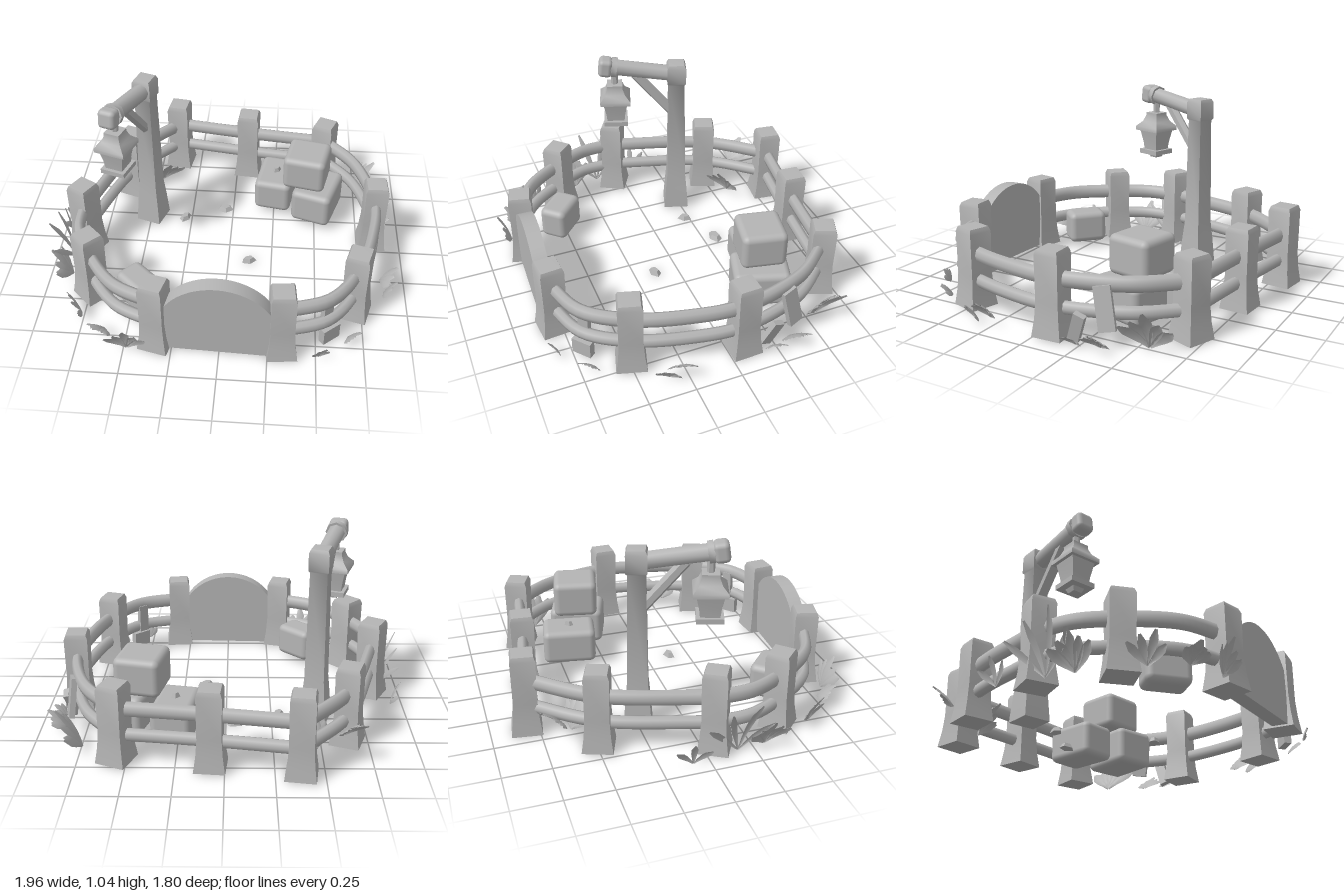
import * as THREE from 'three';
import { toCreasedNormals } from 'three/addons/utils/BufferGeometryUtils.js';
import { RoundedBoxGeometry } from 'three/addons/geometries/RoundedBoxGeometry.js';

const DEG = Math.PI / 180;
const stone = new THREE.MeshStandardMaterial({ color: 0xb4b4b4, side: THREE.DoubleSide });
stone.name = 'plain grey';

function add(parent, name, geometry, x = 0, y = 0, z = 0, ry = 0) {
  const mesh = new THREE.Mesh(geometry, stone);
  mesh.name = name;
  mesh.position.set(x, y, z);
  mesh.rotation.y = ry;
  parent.add(mesh);
  return mesh;
}

// Square-section turned shape from [half width, height] pairs
function squareLoft(profile) {
  const pts = profile.map(([r, y]) => new THREE.Vector2(r * Math.SQRT2, y));
  const g = new THREE.LatheGeometry(pts, 4);
  g.rotateY(Math.PI / 4);
  return toCreasedNormals(g, 50 * DEG);
}

// Round bar between two points
function bar(parent, name, a, b, r, sides = 8) {
  const from = new THREE.Vector3(...a), to = new THREE.Vector3(...b);
  const dir = to.clone().sub(from);
  const g = toCreasedNormals(new THREE.CylinderGeometry(r, r, dir.length(), sides), 50 * DEG);
  const mesh = add(parent, name, g);
  mesh.position.copy(from).add(to).multiplyScalar(0.5);
  mesh.quaternion.setFromUnitVectors(new THREE.Vector3(0, 1, 0), dir.normalize());
  return mesh;
}

// Leaf that swells, tapers and droops along its length
function leafGeometry(length, width, droop) {
  const g = new THREE.PlaneGeometry(1, 1, 2, 4);
  const p = g.attributes.position;
  const swell = [0.2, 0.55, 0.9, 1, 0.3];
  for (let i = 0; i < p.count; i++) {
    const t = p.getY(i) + 0.5;
    const u = p.getX(i);
    p.setXYZ(i, u * width * swell[Math.round(t * 4)], t * length,
      droop * t * t * length + Math.abs(u) * width * 0.25);
  }
  g.computeVertexNormals();
  return g;
}

// Fan of leaves leaning towards the direction "yaw"
function plant(parent, x, y, z, length, yaw, lean, count, width) {
  const group = new THREE.Group();
  group.name = 'plant';
  group.position.set(x, y, z);
  group.rotation.y = yaw;
  const fan = new THREE.Group();
  fan.rotation.x = lean;
  group.add(fan);
  for (let i = 0; i < count; i++) {
    const s = i / (count - 1) * 2 - 1;
    const size = length * (1 - 0.2 * Math.abs(s)) * (i % 2 ? 0.88 : 1);
    const leaf = add(fan, 'leaf', leafGeometry(size, width, 0.25));
    leaf.rotation.z = -s * 0.75;
  }
  parent.add(group);
}

export function createModel() {
  const model = new THREE.Group();
  model.name = 'fencedYard';

  // Fence posts: x, z, turn in degrees, height
  const posts = [
    [-0.38, -0.81, -8, 0.45], [0.07, -0.74, -5, 0.44], [0.55, -0.68, -22, 0.43],
    [0.83, -0.08, 2, 0.44], [0.71, 0.49, -16, 0.43], [0.32, 0.79, 5, 0.43],
    [-0.33, 0.78, -14, 0.43], [-0.73, 0.45, -45, 0.43], [-0.83, 0.06, -30, 0.45],
    [-0.64, -0.49, -20, 0.44],
  ];
  for (const [x, z, turn, h] of posts) {
    const g = squareLoft([[0, 0], [0.08, 0], [0.068, 0.09], [0.062, 0.18],
      [0.064, h - 0.025], [0.055, h], [0, h + 0.002]]);
    add(model, 'fencePost', g, x, 0, z, turn * DEG);
  }

  // Upper and lower rails, taller than they are thick
  const runs = [
    [[-0.38, -0.81], [0.07, -0.74], [0.55, -0.68]],
    [[0.55, -0.68], [0.73, -0.45], [0.83, -0.08], [0.8, 0.2], [0.71, 0.49], [0.56, 0.7], [0.32, 0.79]],
    [[-0.33, 0.78], [-0.56, 0.67], [-0.73, 0.45], [-0.82, 0.26], [-0.83, 0.06]],
    [[-0.83, 0.06], [-0.64, -0.49], [-0.38, -0.81]],
  ];
  for (const [y, halfHeight] of [[0.292, 0.043], [0.148, 0.036]]) {
    for (const run of runs) {
      const curve = new THREE.CatmullRomCurve3(run.map(([x, z]) => new THREE.Vector3(x, 0, z)));
      const g = new THREE.TubeGeometry(curve, run.length * 6, 0.031, 8);
      g.scale(1, halfHeight / 0.031, 1);
      add(model, 'rail', g, 0, y, 0);
    }
  }

  // Arched gate
  const arch = new THREE.Shape();
  arch.moveTo(-0.28, 0.01);
  arch.lineTo(0.28, 0.01);
  arch.lineTo(0.28, 0.29);
  arch.absarc(0, 0.14, 0.318, 28.2 * DEG, 151.8 * DEG, false);
  arch.lineTo(-0.28, 0.01);
  const gate = new THREE.ExtrudeGeometry(arch, { depth: 0.08, bevelEnabled: false, curveSegments: 20 });
  gate.translate(0, 0, -0.04);
  add(model, 'gate', toCreasedNormals(gate, 30 * DEG), -0.005, 0, 0.795, -0.04);

  // Lamp post with arm along its own +z
  const lamp = new THREE.Group();
  lamp.name = 'lampPost';
  lamp.position.set(-0.49, 0, -0.24);
  lamp.rotation.y = -0.32;
  model.add(lamp);
  add(lamp, 'upright', squareLoft([[0, 0], [0.074, 0], [0.064, 0.14], [0.054, 0.25],
    [0.046, 0.86], [0.054, 0.87], [0.054, 0.965], [0.045, 0.985], [0, 0.988]]));
  bar(lamp, 'arm', [0, 0.915, 0], [0, 0.97, 0.38], 0.047);
  const armEnd = add(lamp, 'armEnd', new RoundedBoxGeometry(0.1, 0.105, 0.08, 2, 0.025), 0, 0.972, 0.41);
  armEnd.rotation.x = -0.14;
  bar(lamp, 'armCollar', [0, 0.965, 0.345], [0, 0.97, 0.375], 0.06);
  bar(lamp, 'brace', [0, 0.66, 0.02], [0, 0.92, 0.24], 0.03, 6);

  // Hanging lantern
  const lantern = new THREE.Group();
  lantern.name = 'lantern';
  lantern.position.z = 0.36;
  lamp.add(lantern);
  bar(lantern, 'hanger', [0, 0.85, 0], [0, 0.93, 0], 0.02, 6);
  add(lantern, 'lanternRoof', squareLoft([[0, 0.755], [0.088, 0.755], [0.088, 0.778],
    [0.058, 0.81], [0.044, 0.845], [0.044, 0.863], [0, 0.865]]));
  add(lantern, 'lanternBody', squareLoft([[0, 0.635], [0.05, 0.635], [0.055, 0.68], [0.07, 0.757], [0, 0.757]]));
  add(lantern, 'lanternBase', squareLoft([[0, 0.587], [0.024, 0.587], [0.034, 0.61],
    [0.07, 0.61], [0.07, 0.637], [0, 0.638]]));

  // Rounded blocks: width, height, depth, x, bottom, z, turn
  const blocks = [
    [0.22, 0.2, 0.3, 0.26, 0.03, -0.44, -10],
    [0.24, 0.21, 0.31, 0.51, 0.03, -0.33, -18],
    [0.25, 0.21, 0.25, 0.44, 0.24, -0.355, -12],
    [0.23, 0.19, 0.16, -0.45, 0.03, 0.525, -43],
  ];
  for (const [w, h, d, x, y, z, turn] of blocks) {
    add(model, 'roundedBlock', new RoundedBoxGeometry(w, h, d, 3, 0.035), x, y + h / 2, z, turn * DEG);
  }

  // Small loose stones
  for (const [x, y, z, s, turn] of [[-0.05, 0, -0.32, 0.055, 8], [-0.29, 0, -0.22, 0.045, 60],
    [0.12, 0, 0.135, 0.045, 20], [0.26, 0.23, -0.44, 0.03, 45]]) {
    const g = new THREE.CylinderGeometry(s * 0.6, s, 0.025, 5).toNonIndexed();
    g.scale(1, 1, 0.65);
    g.computeVertexNormals();
    add(model, 'looseStone', g, x, y + 0.0125, z, turn * DEG);
  }

  // Loose boards by the rails
  add(model, 'strut', new THREE.BoxGeometry(0.06, 0.17, 0.03), 0.55, 0.205, 0.68, 40 * DEG);
  add(model, 'strutFoot', new THREE.BoxGeometry(0.11, 0.09, 0.04), 0.57, 0.055, 0.7, 40 * DEG);
  const board = add(model, 'leaningBoard', new THREE.BoxGeometry(0.03, 0.22, 0.085), 0.82, 0.185, -0.36);
  board.rotation.set(0.17, 0.3, 0.1);
  const shortBoard = add(model, 'shortBoard', new THREE.BoxGeometry(0.03, 0.16, 0.06), 0.86, 0.08, -0.23);
  shortBoard.rotation.set(-0.35, 0.1, -0.2);

  // Plants: x, y, z, leaf length, yaw, lean, leaf count, leaf width
  const plants = [
    [-0.6, 0.14, -0.66, 0.16, -150, 32, 5, 0.055], [-0.47, 0.01, -0.6, 0.2, 30, 18, 5, 0.06],
    [0.74, 0.005, -0.56, 0.24, 100, 16, 5, 0.065], [0.85, 0.005, -0.36, 0.14, 85, 35, 5, 0.055],
    [0.88, 0.005, -0.24, 0.1, 80, 35, 3, 0.045], [0.86, 0.03, 0.27, 0.14, 75, 28, 4, 0.06],
    [0.88, 0.005, 0.34, 0.12, 60, 20, 4, 0.05], [0.67, 0.005, 0.68, 0.1, 45, 30, 4, 0.05],
    [0.52, 0.005, 0.82, 0.09, 20, 8, 4, 0.035], [-0.48, 0.005, 0.83, 0.19, 0, 6, 5, 0.05],
    [-0.61, 0.04, 0.74, 0.12, -30, 35, 5, 0.055], [-0.76, 0.005, 0.61, 0.17, -60, 8, 4, 0.04],
    [-0.87, 0.005, 0.31, 0.2, -85, 16, 5, 0.055], [-0.89, 0.005, 0.16, 0.34, -90, 4, 4, 0.035],
    [-0.93, 0.005, -0.09, 0.16, -100, 6, 3, 0.035],
  ];
  for (const [x, y, z, length, yaw, lean, count, width] of plants) {
    plant(model, x, y, z, length, yaw * DEG, lean * DEG, count, width);
  }
  return model;
}
